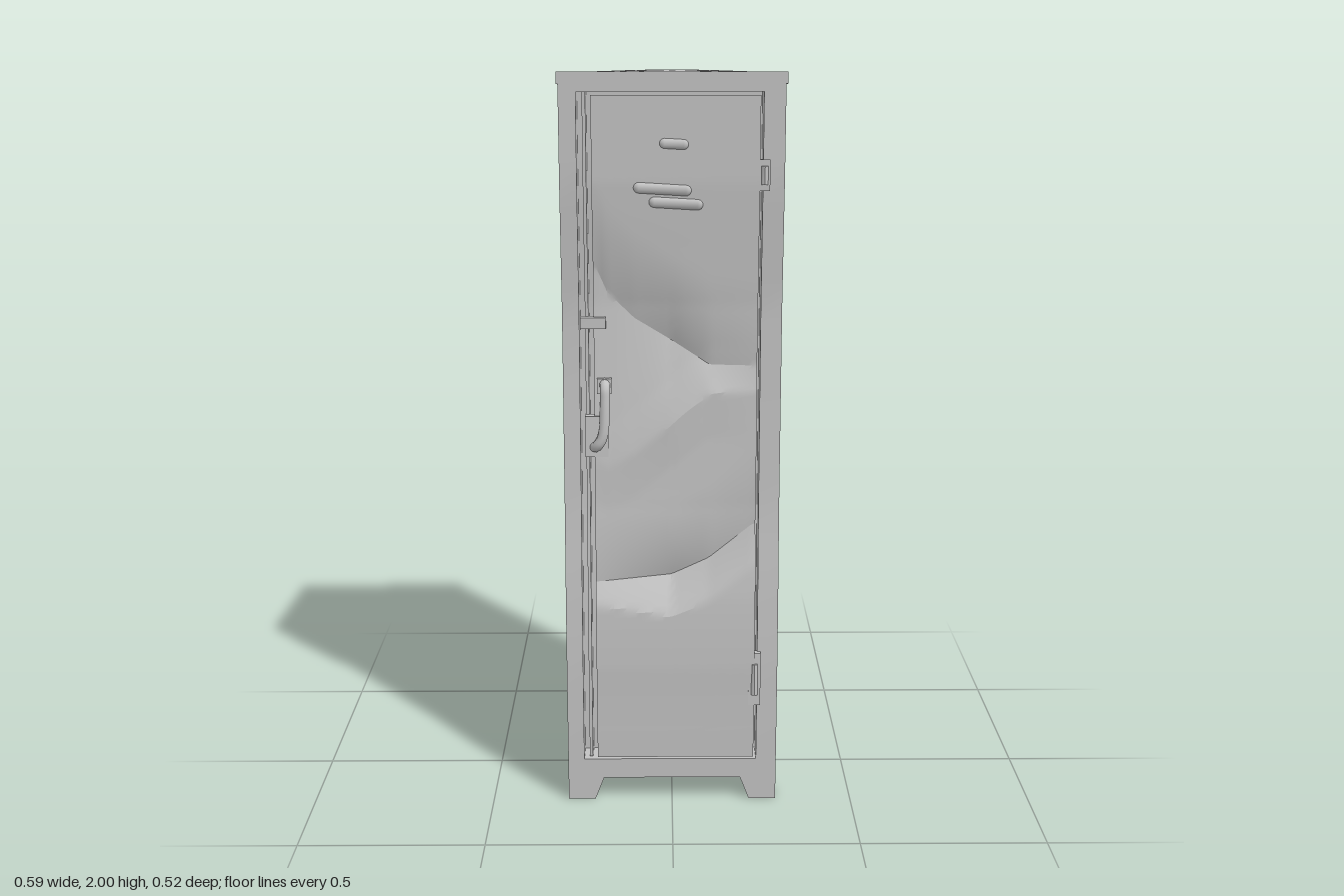
import * as THREE from 'three';
import { toCreasedNormals } from 'three/addons/utils/BufferGeometryUtils.js';

// Straight-line interpolation through [position, value] pairs
function along(pts, t) {
  if (t <= pts[0][0]) return pts[0][1];
  for (let i = 1; i < pts.length; i++) {
    const [a, va] = pts[i - 1], [b, vb] = pts[i];
    if (t <= b) return va + (vb - va) * (t - a) / (b - a);
  }
  return pts[pts.length - 1][1];
}

// Leaning side profile of the cabinet; the right rail is pushed in a little further
const frontZ = (x, y) => along([[0, 0.24], [0.2, 0.24], [0.4, 0.237], [0.6, 0.225], [0.85, 0.201],
  [1.1, 0.193], [1.4, 0.185], [1.55, 0.193], [1.72, 0.203], [2, 0.203]], y)
  - 0.009 * (0.5 - x / 0.58) * Math.exp(-(((y - 1.3) / 0.25) ** 2));
const backZ = y => along([[0, -0.175], [0.2, -0.176], [0.5, -0.185], [1, -0.207], [1.3, -0.219],
  [1.9, -0.25], [2, -0.254]], y);

// Move every vertex of a geometry by a rule
function warp(geo, rule) {
  const p = geo.attributes.position, v = new THREE.Vector3();
  for (let i = 0; i < p.count; i++) {
    rule(v.fromBufferAttribute(p, i));
    p.setXYZ(i, v.x, v.y, v.z);
  }
  geo.computeVertexNormals();
  return geo;
}

// Box given by its limits
function block(x0, x1, y0, y1, z0, z1, nx = 1, ny = 1, nz = 1) {
  return new THREE.BoxGeometry(x1 - x0, y1 - y0, z1 - z0, nx, ny, nz)
    .translate((x0 + x1) / 2, (y0 + y1) / 2, (z0 + z1) / 2);
}

// Dent with a sharp valley along a crease line
function crease(pts, depth, above, below, x, y) {
  const d = y - along(pts, x);
  const t = Math.max(0, 1 - (d > 0 ? d / above : -d / below));
  return -depth * (d > 0 ? t * t : t);
}

const upperCrease = [[-0.2, 1.5], [-0.17, 1.43], [-0.1, 1.36], [0.1, 1.235], [0.2, 1.235]];
const upperRim = [[-0.2, 0.52], [-0.1, 0.36], [0.1, 0.07], [0.2, 0.07]];
const lowerCrease = [[-0.2, 0.64], [0, 0.65], [0.1, 0.7], [0.22, 0.8]];
const lowerRim = [[-0.2, 0.06], [0, 0.1], [0.22, 0.11]];

// Battered door surface, measured from the frame front
function doorZ(x, y) {
  const side = Math.max(0, 1 - Math.abs(x) / 0.24);
  let z = 0.008;
  z += 0.013 * Math.exp(-(((y - 0.56) / 0.25) ** 2));
  z += crease(upperCrease, 0.012 + 0.03 * side, 0.24, along(upperRim, x), x, y);
  z += crease(lowerCrease, 0.018 + 0.038 * side, 0.22, along(lowerRim, x), x, y);
  // Ridge running down to the right from the upper crease
  const ridge = along(upperCrease, x) - along(upperRim, x);
  z += 0.012 * Math.max(0, 1 - Math.abs(y - ridge) / 0.12) * side;
  return z;
}

export function createModel() {
  const locker = new THREE.Group();
  locker.name = 'locker';
  const metal = new THREE.MeshStandardMaterial({ color: 0xc2c2c2 });
  metal.name = 'grey metal';

  const add = (name, geo) => {
    const mesh = new THREE.Mesh(geo, metal);
    mesh.name = name;
    locker.add(mesh);
  };
  // Part that follows the bent front
  const bend = geo => warp(geo, v => { v.z += frontZ(v.x, v.y); });
  const addFront = (name, geo) => add(name, bend(geo));

  // Cabinet shell, set back behind the frame, its top sloping with the lid
  add('cabinetShell', warp(block(-0.29, 0.29, 0.072, 1.975, 0, 1, 4, 30, 1), v => {
    const back = backZ(v.y), front = frontZ(v.x, v.y) - 0.07;
    if (v.y > 1.97) v.y -= 0.034 * (1 - v.z);
    v.z = back + (front - back) * v.z;
  }));

  // Lid, sloping down toward the back and swollen in the middle
  add('lid', warp(block(-0.294, 0.294, 1.97, 2, -0.259, 0.205, 10, 1, 12), v => {
    const t = (0.205 - v.z) / 0.464;
    const swell = Math.sin(Math.PI * t) * Math.cos(v.x / 0.294 * Math.PI / 2);
    v.y += 0.011 * swell - 0.034 * t;
  }));

  // Front frame
  for (const [name, x0, x1] of [['frameRight', -0.29, -0.245], ['frameLeft', 0.234, 0.29]]) {
    addFront(name, block(x0, x1, 0.066, 1.972, -0.075, 0, 1, 30, 1));
  }
  addFront('frameTop', block(-0.25, 0.24, 1.95, 1.972, -0.075, 0));
  addFront('frameBottom', block(-0.25, 0.24, 0.066, 0.122, -0.075, 0));
  addFront('latchJamb', block(-0.23, -0.221, 0.125, 1.95, -0.075, -0.012, 1, 30, 1));

  // Skirt plates with tapered feet
  const skirt = (a, b, foot, taper) => {
    const s = new THREE.Shape([
      [a, 0], [a + foot, 0], [a + foot + taper, 0.065], [b - foot - taper, 0.065],
      [b - foot, 0], [b, 0], [b, 0.074], [a, 0.074],
    ].map(p => new THREE.Vector2(...p)));
    return new THREE.ExtrudeGeometry(s, { depth: 0.015, bevelEnabled: false });
  };
  add('skirtFront', skirt(-0.29, 0.29, 0.075, 0.025).translate(0, 0, 0.225));
  add('skirtBack', skirt(-0.29, 0.29, 0.075, 0.025).translate(0, 0, -0.1755));
  for (const [name, x] of [['skirtRight', -0.275], ['skirtLeft', 0.29]]) {
    add(name, skirt(-0.1755, 0.24, 0.055, 0.02).rotateY(-Math.PI / 2).translate(x, 0, 0));
  }

  // Dented door, with rows of the grid lying along both creases
  const door = warp(block(-0.207, 0.226, 0.132, 1.942, -0.015, 0, 36, 120, 1), v => {
    v.y = along([[0.132, 0.132], [0.675, along(lowerCrease, v.x)],
      [0.132 + 1.81 * 2 / 3, along(upperCrease, v.x)], [1.942, 1.942]], v.y);
    v.z += doorZ(v.x, v.y);
  });
  add('door', toCreasedNormals(bend(door), 0.35));

  // Vent louvres, lying along x with a slight tilt
  const louvre = (x, y, w, h) => {
    const geo = new THREE.CapsuleGeometry(h / 2, w - h, 4, 10).rotateZ(Math.PI / 2 - 0.06);
    addFront('louvre', geo.scale(1, 1, 0.7).translate(x, y, 0.008));
  };
  louvre(0.005, 1.82, 0.075, 0.026);
  louvre(-0.025, 1.705, 0.15, 0.028);
  louvre(0.01, 1.668, 0.14, 0.028);

  // Hinges
  const hinge = (x0, x1, y0, y1, z) => {
    addFront('hingePlate', block(x0, x1, y0, y1, -0.01, z * 0.7, 1, 4, 1));
    const knuckle = new THREE.CylinderGeometry(0.009, 0.009, (y1 - y0) * 0.6, 10);
    addFront('hingeKnuckle', knuckle.translate((x0 + x1) / 2, (y0 + y1) / 2, z * 0.6));
  };
  hinge(0.21, 0.243, 0.29, 0.44, 0.02);
  hinge(0.224, 0.252, 1.7, 1.78, 0.01);

  // Latch plate, lock tab and pull handle
  addFront('latchPlate', block(-0.232, -0.17, 0.99, 1.1, -0.02, 0.012));
  addFront('lockTab', block(-0.242, -0.175, 1.335, 1.365, -0.02, 0.008));
  const path = new THREE.CatmullRomCurve3([
    [-0.21, 1.015, 0], [-0.2, 1.022, 0.022], [-0.185, 1.05, 0.029],
    [-0.178, 1.15, 0.028], [-0.178, 1.182, 0.022], [-0.18, 1.19, -0.01],
  ].map(p => new THREE.Vector3(...p)));
  addFront('handle', new THREE.TubeGeometry(path, 28, 0.014, 10));
  for (const [x, y] of [[-0.205, 1.02], [-0.18, 1.182]]) {
    addFront('handleMount', block(x - 0.019, x + 0.019, y - 0.02, y + 0.02, -0.02, 0.012));
  }

  return locker;
}
